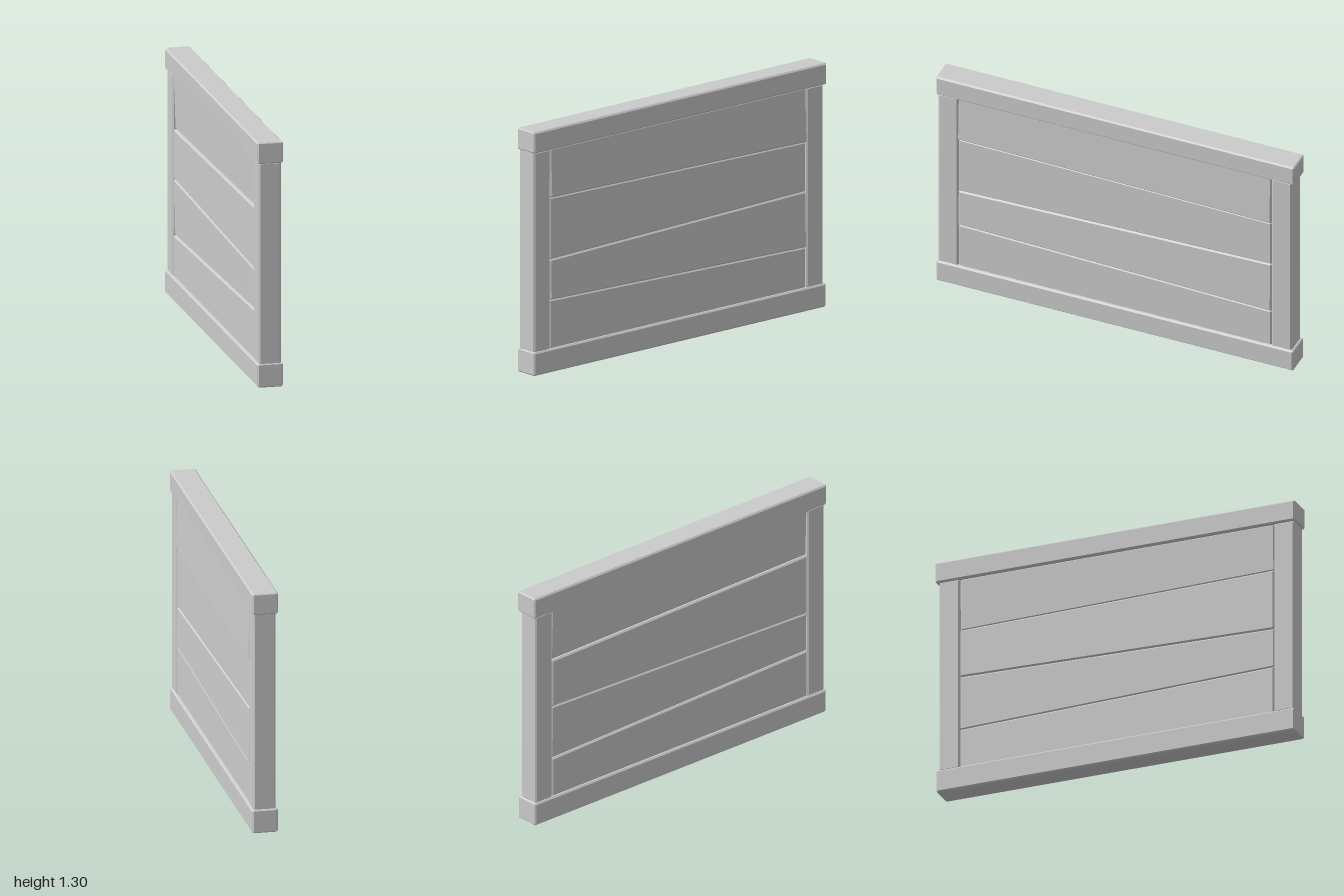
import * as THREE from 'three';

const material = new THREE.MeshStandardMaterial({ color: 0xcccccc, flatShading: true });

// Chamfered board: four corners [z, y] counter-clockwise, thickness along x.
// lean pushes the lower edge sideways by that amount.
function board(name, corners, thickness, chamfer = 0.008, lean = 0) {
  const pts = corners.map(([z, y]) => new THREE.Vector2(z, y));
  const outline = [];
  pts.forEach((p, i) => {
    for (const q of [pts[(i + 3) % 4], pts[(i + 1) % 4]]) {
      outline.push(p.clone().add(q.clone().sub(p).setLength(chamfer * 0.7)));
    }
  });
  const geo = new THREE.ExtrudeGeometry(new THREE.Shape(outline), {
    depth: thickness - 2 * chamfer,
    bevelEnabled: true,
    bevelThickness: chamfer,
    bevelSize: chamfer,
    bevelOffset: -chamfer,
    bevelSegments: 1,
  });
  geo.translate(0, 0, chamfer - thickness / 2);
  geo.rotateY(-Math.PI / 2);
  if (lean) {
    const ys = pts.map((p) => p.y);
    const low = Math.min(...ys), high = Math.max(...ys);
    const pos = geo.attributes.position;
    for (let i = 0; i < pos.count; i++) {
      pos.setX(i, pos.getX(i) + lean * (high - pos.getY(i)) / (high - low));
    }
    geo.computeVertexNormals();
  }
  const mesh = new THREE.Mesh(geo, material);
  mesh.name = name;
  return mesh;
}

const rect = (z0, z1, y0, y1) => [[z0, y0], [z1, y0], [z1, y1], [z0, y1]];

export function createModel() {
  const group = new THREE.Group();
  group.name = 'plankWall';

  // Horizontal rails
  group.add(board('bottomRail', rect(-0.995, 0.998, 0, 0.125), 0.136));
  group.add(board('topRail', rect(-1, 1, 1.187, 1.3), 0.137));

  // End posts
  group.add(board('frontPost', rect(0.88, 0.992, 0.12, 1.19), 0.117));
  group.add(board('backPost', rect(-0.983, -0.87, 0.12, 1.19), 0.117));

  // Planks with slanted seams: [height at front end, height at back end]
  const seams = [[0.12, 0.12], [0.383, 0.339], [0.598, 0.637], [0.929, 0.901], [1.19, 1.19]];
  const leans = [0, 0.006, 0, 0.01];
  const zFront = 0.88, zBack = -0.869;
  for (let i = 0; i < 4; i++) {
    const [f0, b0] = seams[i], [f1, b1] = seams[i + 1];
    const corners = [[zBack, b0], [zFront, f0], [zFront, f1], [zBack, b1]];
    group.add(board('plank' + (i + 1), corners, 0.108, 0.008, leans[i]));
  }
  return group;
}
